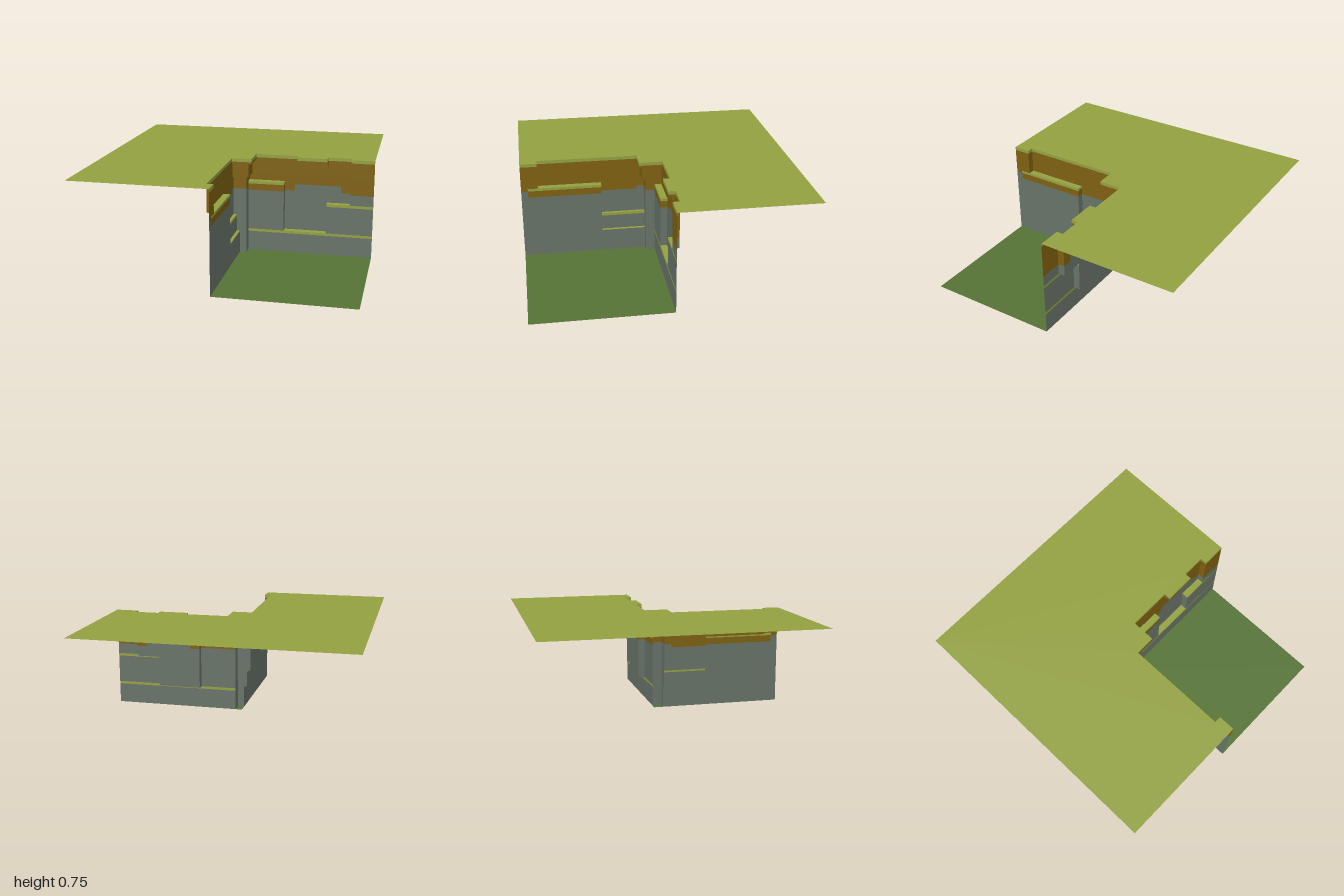
import * as THREE from 'three';

const mat = (name, color) => new THREE.MeshStandardMaterial({ name, color, side: THREE.DoubleSide });

// Grassy shelves cut into the cliff: [y, x0, x1, z0, z1]
const LEDGES = [
  [0.55, 0.05, 0.325, -0.05, 0], [0.17, 0.325, 0.65, -0.05, 0], [0.4, 0.65, 0.825, -0.05, 0],
  [0.55, -0.05, 0, 0.4, 0.875], [0.3, -0.05, -0.025, 0.07, 0.4], [0.17, -0.025, 0, 0.07, 0.4],
];

// Downward faces under the overhanging pieces
const UNDERSIDES = [
  [0.6, -0.05, 0.07, 0.07, 0.1], [0.6, 0.05, 0.07, -0.05, 0.07],
  [0.71, -0.05, 0.1, 0.1, 0.125], [0.71, 0.07, 0.1, -0.05, 0.1],
  [0.68, 0.425, 0.65, -0.05, -0.025], [0.71, 0.425, 0.65, -0.025, 0],
];

// Plan outlines as [x, z] points, walked from the front end to the right end
const leftFlat = [[0, 1]];
const leftShallow = [[0, 1], [0, 0.4], [-0.025, 0.4], [-0.025, 0.07]];
const leftDeep = [[0, 1], [0, 0.95], [0, 0.4], [-0.05, 0.4], [-0.05, 0.125], [-0.05, 0.07]];
const leftHigh = [[0, 1], [0, 0.875], [-0.05, 0.875]];
const backEnd = [[0.825, -0.05], [0.825, 0], [1, 0]];
const backNotch = [[0.325, 0], [0.325, -0.05], [0.65, -0.05], [0.65, 0], [1, 0]];
const backWide = [[0.325, 0], [0.325, -0.05], [0.4, -0.05], [0.75, -0.05], ...backEnd];
const backLip = (z) => [[0.425, -0.05], [0.425, z], [0.65, z], [0.65, -0.05], ...backEnd];

// Horizontal layers: bottom, top, left outline, left depth, pillar x and z, back depth, back outline
const LAYERS = [
  [0, 0.17, leftFlat, 0, 0.05, 0.07, 0, [[1, 0]]],
  [0.17, 0.3, leftShallow, -0.025, 0.05, 0.07, 0, backNotch],
  [0.3, 0.4, leftDeep, -0.05, 0.05, 0.07, 0, backNotch],
  [0.4, 0.55, leftDeep, -0.05, 0.05, 0.07, 0, backWide],
  [0.55, 0.6, leftHigh, -0.05, 0.05, 0.07, -0.05, backEnd],
  [0.6, 0.68, leftHigh, -0.05, 0.07, 0.1, -0.05, backEnd],
  [0.68, 0.71, leftHigh, -0.05, 0.07, 0.1, -0.05, backLip(-0.025)],
  [0.71, 0.75, leftHigh, -0.05, 0.1, 0.125, -0.05, backLip(0)],
];

// Height where soil meets stone
function soilLine(x, z) {
  if (z > 0.95) return 0.53;
  if (z > 0.13) return 0.48;
  if (z > 0.001) return 0.505;
  return x > 0.4 && x < 0.75 ? 0.53 : 0.48;
}

// Lower limit of the grass trim on a panel that ends at height y1
function trimLine(x, z, y1) {
  if (y1 === 0.75) return 0.725;
  const e = 0.001;
  const under = LEDGES.some(([y, x0, x1, z0, z1]) =>
    y === y1 && x > x0 - e && x < x1 + e && z > z0 - e && z < z1 + e);
  return under ? y1 - 0.02 : y1;
}

function quadMesh(name, quads, material) {
  const pos = [];
  for (const [a, b, c, d] of quads) pos.push(...a, ...b, ...c, ...a, ...c, ...d);
  const g = new THREE.BufferGeometry();
  g.setAttribute('position', new THREE.Float32BufferAttribute(pos, 3));
  g.computeVertexNormals();
  const mesh = new THREE.Mesh(g, material);
  mesh.name = name;
  return mesh;
}

const flat = ([y, x0, x1, z0, z1], up) => {
  const q = [[x0, y, z0], [x0, y, z1], [x1, y, z1], [x1, y, z0]];
  return up ? q : q.reverse();
};

// One run of cliff: vertical panels sliced into stone, soil and grass bands
function cliffRun(name, runs, mats) {
  const bands = { Stone: [], Soil: [], Trim: [] };
  for (const [y0, y1, path] of runs) {
    for (let i = 0; i + 1 < path.length; i++) {
      const [ax, az] = path[i], [bx, bz] = path[i + 1];
      if (ax === bx && az === bz) continue;
      const mx = (ax + bx) / 2, mz = (az + bz) / 2;
      const trim = trimLine(mx, mz, y1);
      const soil = Math.min(Math.max(soilLine(mx, mz), y0), trim);
      const add = (key, lo, hi) => {
        if (hi - lo > 1e-4) bands[key].push([[ax, lo, az], [bx, lo, bz], [bx, hi, bz], [ax, hi, az]]);
      };
      add('Stone', y0, soil);
      add('Soil', soil, trim);
      add('Trim', trim, y1);
    }
  }
  const group = new THREE.Group();
  group.name = name;
  for (const key in bands) {
    if (bands[key].length) group.add(quadMesh(name + key, bands[key], mats[key]));
  }
  return group;
}

export function createModel() {
  const grass = mat('light grass', 0x93a141);
  const meadow = mat('dark grass', 0x567335);
  const soil = mat('brown soil', 0x7e6010);
  const stone = mat('grey stone', 0x677368);
  const mats = { Stone: stone, Soil: soil, Trim: grass };
  const model = new THREE.Group();
  model.name = 'cliffCorner';

  // Cliff walls and the pillar in the inner corner
  const left = [], pillar = [], back = [];
  let rim;
  for (const [y0, y1, l, lx, px, pz, bz, b] of LAYERS) {
    const leftPath = [...l, [lx, pz]];
    const pillarPath = [[lx, pz], [px, pz], [px, bz]];
    const backPath = [[px, bz], ...b];
    left.push([y0, y1, leftPath]);
    pillar.push([y0, y1, pillarPath]);
    back.push([y0, y1, backPath]);
    rim = [...leftPath, ...pillarPath.slice(1), ...backPath.slice(1)];
  }
  model.add(cliffRun('leftWall', left, mats), cliffRun('cornerPillar', pillar, mats),
    cliffRun('backWall', back, mats));

  // Shelves and overhang undersides
  model.add(quadMesh('ledges', LEDGES.map((r) => flat(r, true)), grass));
  model.add(quadMesh('overhangUndersides', UNDERSIDES.map((r) => flat(r, false)), soil));

  // Upper ground follows the rim of the cliff
  const outline = [...rim, [1, -1], [-1, -1], [-1, 1]];
  const shape = new THREE.Shape(outline.map(([x, z]) => new THREE.Vector2(x, -z)));
  const upper = new THREE.Mesh(new THREE.ShapeGeometry(shape).rotateX(-Math.PI / 2), grass);
  upper.name = 'upperGround';
  upper.position.y = 0.75;
  model.add(upper);

  // Lower ground
  model.add(quadMesh('lowerGround', [flat([0, 0, 1, 0, 1], true)], meadow));
  return model;
}
